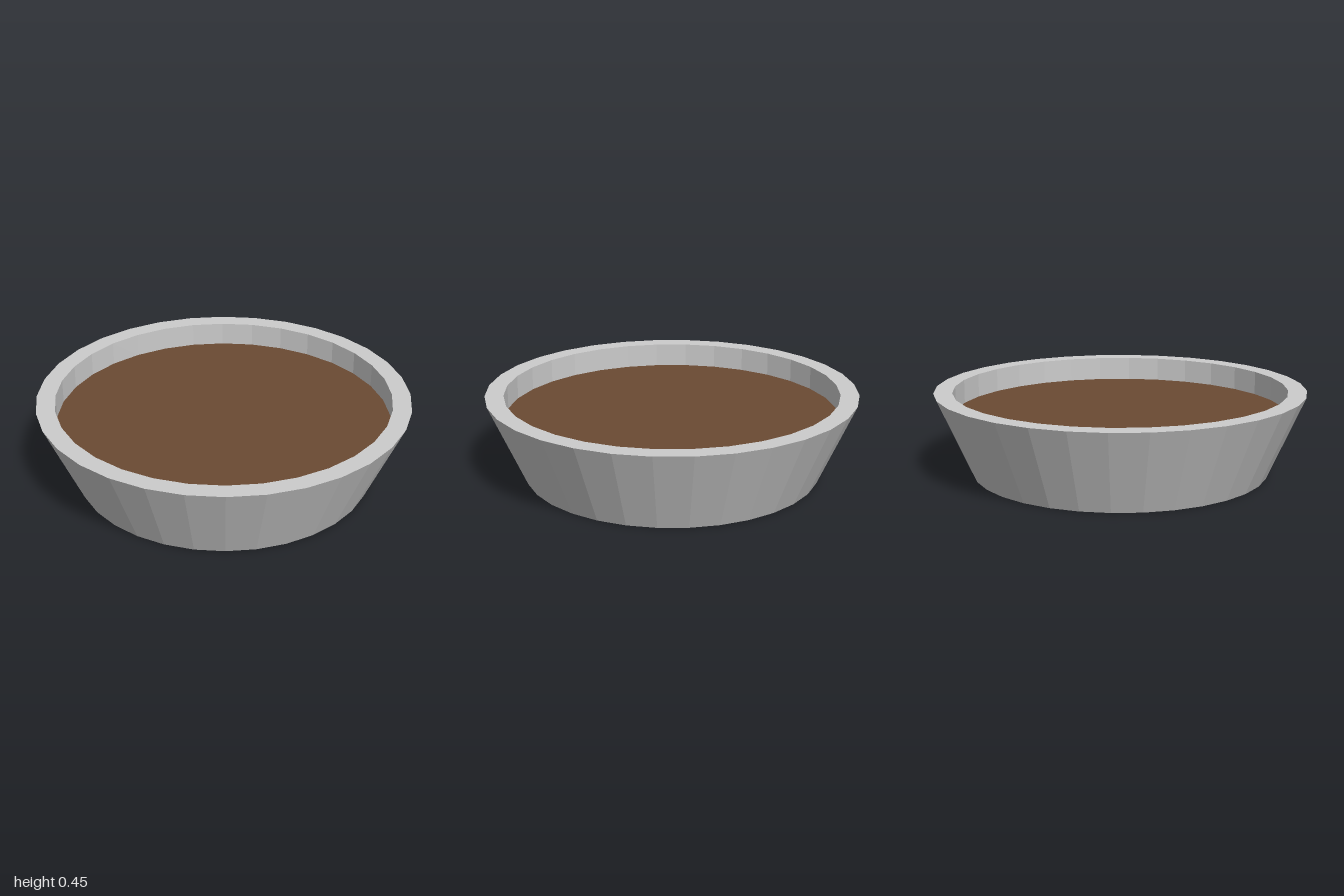
import * as THREE from 'three';

const SIDES = 32;
const SOIL_Y = 0.32;
const INNER_R = 0.9;

// Faceted surface of revolution from [radius, height] points
function turned(name, color, profile) {
  const points = profile.map(([r, y]) => new THREE.Vector2(r, y));
  const mesh = new THREE.Mesh(
    new THREE.LatheGeometry(points, SIDES),
    new THREE.MeshStandardMaterial({ color, flatShading: true })
  );
  mesh.name = name;
  return mesh;
}

export function createModel() {
  const group = new THREE.Group();
  group.name = 'planter';

  // Tapered bowl: base, sloping wall, flat rim, upright inner wall
  group.add(turned('bowl', 0xcccccc, [
    [0, 0], [0.8, 0], [1, 0.45], [INNER_R, 0.45], [INNER_R, SOIL_Y],
  ]));

  // Soil filling the bowl, set below the rim
  group.add(turned('soil', 0x6b4a33, [[INNER_R, SOIL_Y], [0, SOIL_Y]]));

  return group;
}
